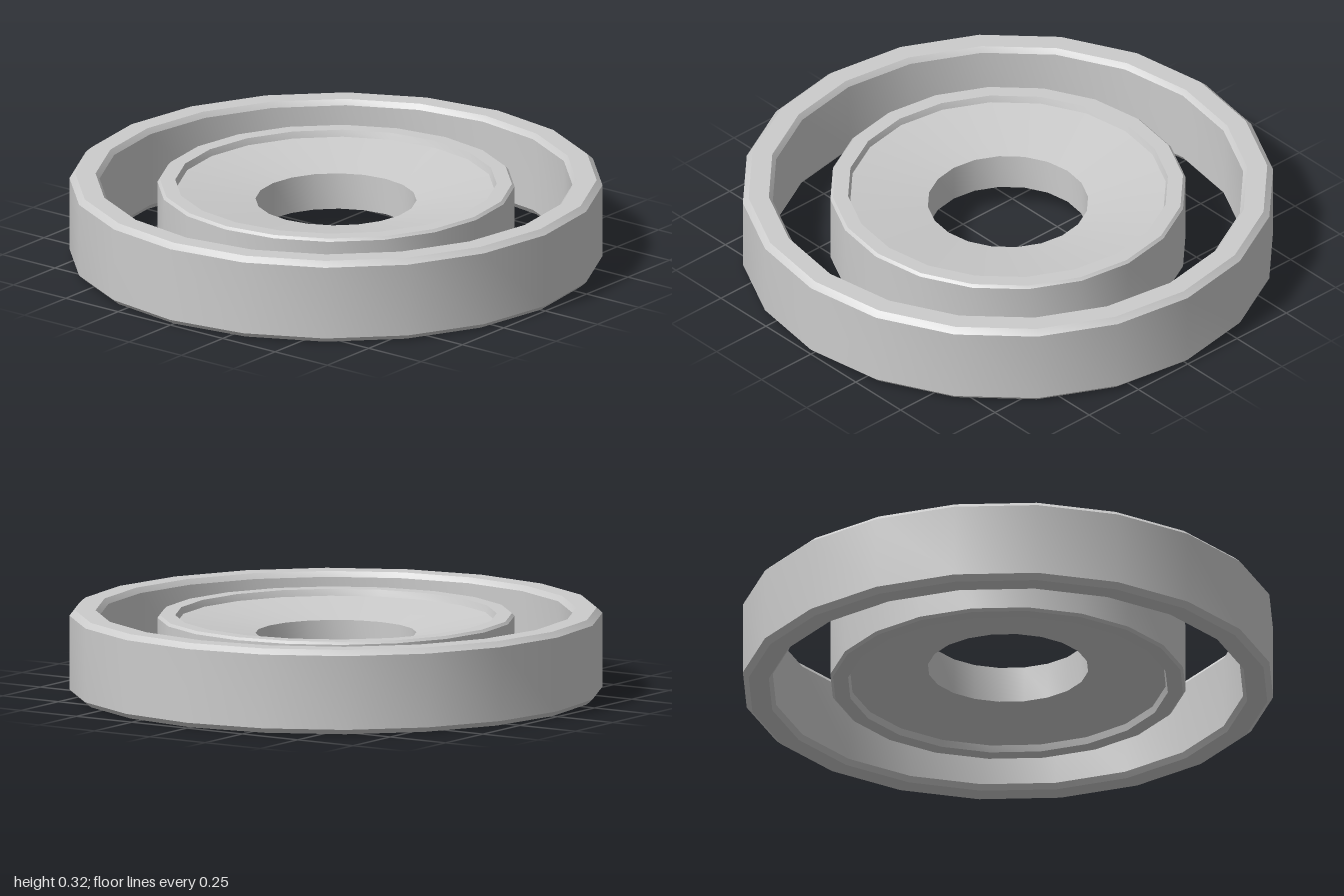
import * as THREE from 'three';
import { toCreasedNormals } from 'three/addons/utils/BufferGeometryUtils.js';

const HEIGHT = 0.32;
const SIDES = 20;

// Revolves a closed ring; the lower half profile (inside to outside) is mirrored for the top.
function ring(name, lowerHalf, material) {
  const upperHalf = lowerHalf.map(([r, y]) => [r, HEIGHT - y]).reverse();
  const profile = [...lowerHalf, ...upperHalf, lowerHalf[0]];
  const points = profile.map(([r, y]) => new THREE.Vector2(r, y));
  const geometry = toCreasedNormals(new THREE.LatheGeometry(points, SIDES), 0.6);
  const mesh = new THREE.Mesh(geometry, material);
  mesh.name = name;
  return mesh;
}

export function createModel() {
  const group = new THREE.Group();
  group.name = 'bearingRings';
  const material = new THREE.MeshStandardMaterial({ color: 0xcccccc });

  // Outer race with chamfered rims
  group.add(ring('outerRing', [
    [0.887, 0.02], [0.902, 0], [0.978, 0], [1, 0.02],
  ], material));

  // Inner race: dished faces around the bore, raised lip at the edge
  group.add(ring('innerRing', [
    [0.302, 0.09], [0.595, 0.045], [0.603, 0.02], [0.66, 0.02], [0.67, 0.03],
  ], material));

  return group;
}
